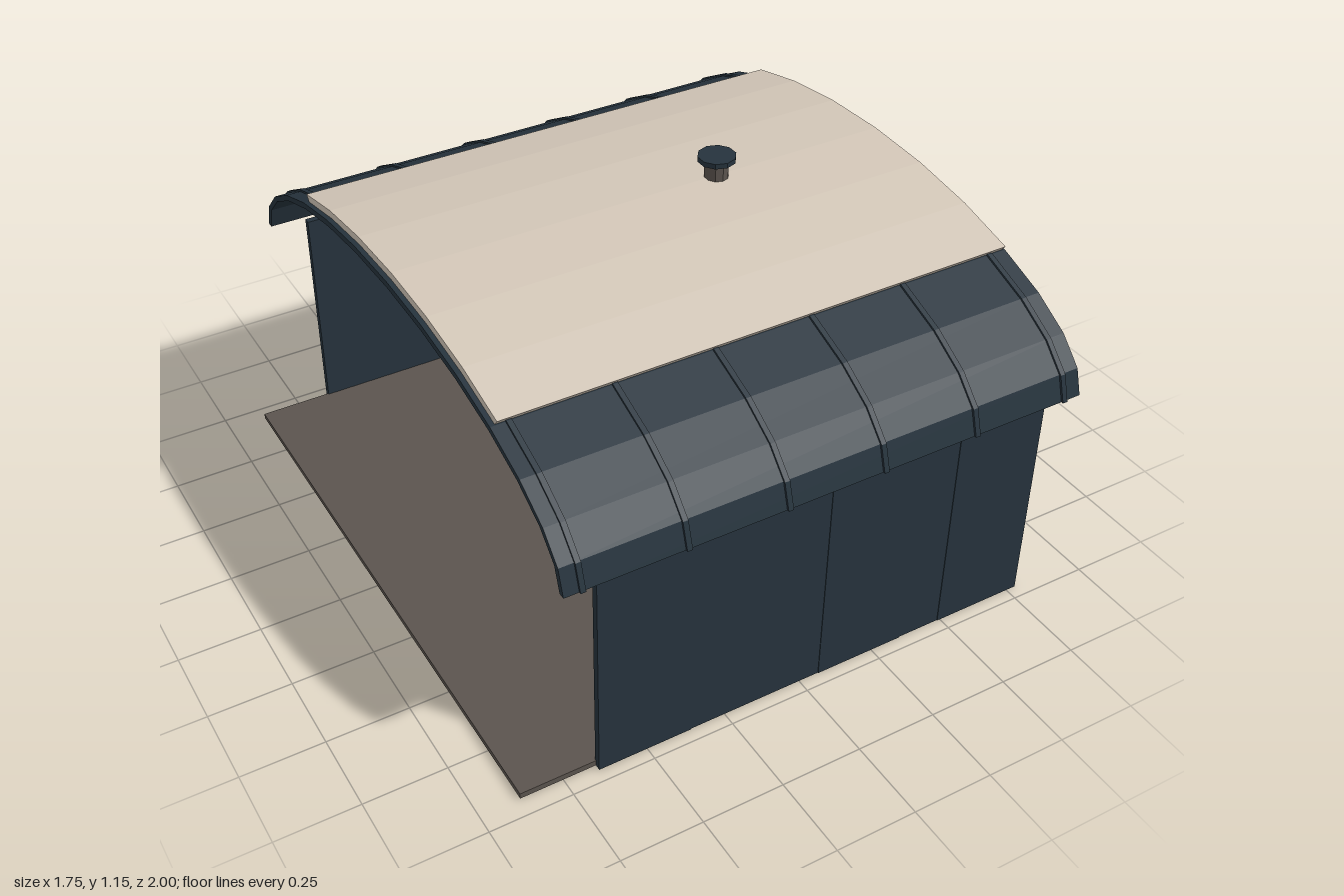
import * as THREE from 'three';

export function createModel() {
  const model = new THREE.Group();
  const steel = new THREE.MeshStandardMaterial({ color: 0x26333d, flatShading: true });
  steel.name = 'dark blue steel';
  const cream = new THREE.MeshStandardMaterial({ color: 0xd3c7b8, flatShading: true });
  cream.name = 'cream cover';
  const brown = new THREE.MeshStandardMaterial({ color: 0x5b544e, flatShading: true });
  brown.name = 'grey brown';

  function add(name, geometry, material, x = 0, y = 0, z = 0, parent = model) {
    const mesh = new THREE.Mesh(geometry, material);
    mesh.name = name;
    mesh.position.set(x, y, z);
    parent.add(mesh);
    return mesh;
  }

  // Box given by its lower and upper limits on each axis
  function block(name, material, [x0, x1], [y0, y1], [z0, z1], parent) {
    return add(name, new THREE.BoxGeometry(x1 - x0, y1 - y0, z1 - z0), material,
      (x0 + x1) / 2, (y0 + y1) / 2, (z0 + z1) / 2, parent);
  }

  // Faceted half-ellipse band running along x; offsets are measured from the roof skin
  const SEGMENTS = 14, BASE = 0.71;
  function arch(name, material, x0, x1, inner, outer, first = 0, last = SEGMENTS) {
    const point = (k, offset) => {
      const a = (k / SEGMENTS) * Math.PI;
      return new THREE.Vector2(Math.cos(a) * (0.993 + offset), BASE + Math.sin(a) * (0.35 + offset));
    };
    const points = [];
    for (let k = first; k <= last; k++) points.push(point(k, outer));
    for (let k = last; k >= first; k--) points.push(point(k, inner));
    const geometry = new THREE.ExtrudeGeometry(new THREE.Shape(points), { depth: x1 - x0, bevelEnabled: false });
    geometry.rotateY(Math.PI / 2);
    return add(name, geometry, material, x0);
  }

  // Floor, projecting past the open end
  block('floor', brown, [-0.88, 0.765], [0.002, 0.02], [-0.943, 0.943]);

  // Walls made of sheets of uneven width, alternately set back a hair
  function wall(name, seams, sheet) {
    const group = new THREE.Group();
    group.name = name;
    for (let i = 0; i < seams.length - 1; i++) {
      sheet([seams[i], seams[i + 1]], (i % 2) * 0.002, group);
    }
    model.add(group);
  }
  const H = [0, 0.71];
  wall('frontWall', [-0.65, -0.36, 0.065, 0.35, 0.49, 0.76], (span, inset, g) =>
    block('frontSheet', steel, span, H, [0.938, 0.96 - inset], g));
  wall('backWall', [-0.65, -0.49, -0.2, 0.07, 0.21, 0.55, 0.76], (span, inset, g) =>
    block('backSheet', steel, span, H, [-0.96 + inset, -0.938], g));
  wall('endWall', [-0.938, -0.81, -0.65, -0.5, -0.34, -0.18, 0.02, 0.17, 0.32, 0.5, 0.79, 0.938], (span, inset, g) =>
    block('endSheet', steel, [0.76, 0.782 - inset], H, span, g));

  // Corner posts at the closed end
  for (const s of [-1, 1]) {
    block(s > 0 ? 'frontCornerPost' : 'backCornerPost', steel, [0.76, 0.782], H,
      s > 0 ? [0.936, 0.96] : [-0.96, -0.936]);
  }

  // Curved roof with raised ribs
  arch('roof', steel, -0.76, 0.875, -0.02, 0);
  for (let i = 0; i < 6; i++) {
    const x = -0.708 + i * 0.305;
    arch('roofRib', steel, x - 0.008, x + 0.008, -0.002, 0.007);
  }

  // Pale cover over the crown of the roof
  arch('roofCover', cream, -0.745, 0.865, 0.001, 0.025, 4, 10).scale.z = 0.993;

  // Chimney vent
  add('ventPipe', new THREE.CylinderGeometry(0.037, 0.037, 0.08, 10), brown, 0.29, 1.1, 0);
  add('ventCap', new THREE.CylinderGeometry(0.058, 0.058, 0.016, 10), steel, 0.29, 1.146, 0);

  return model;
}
